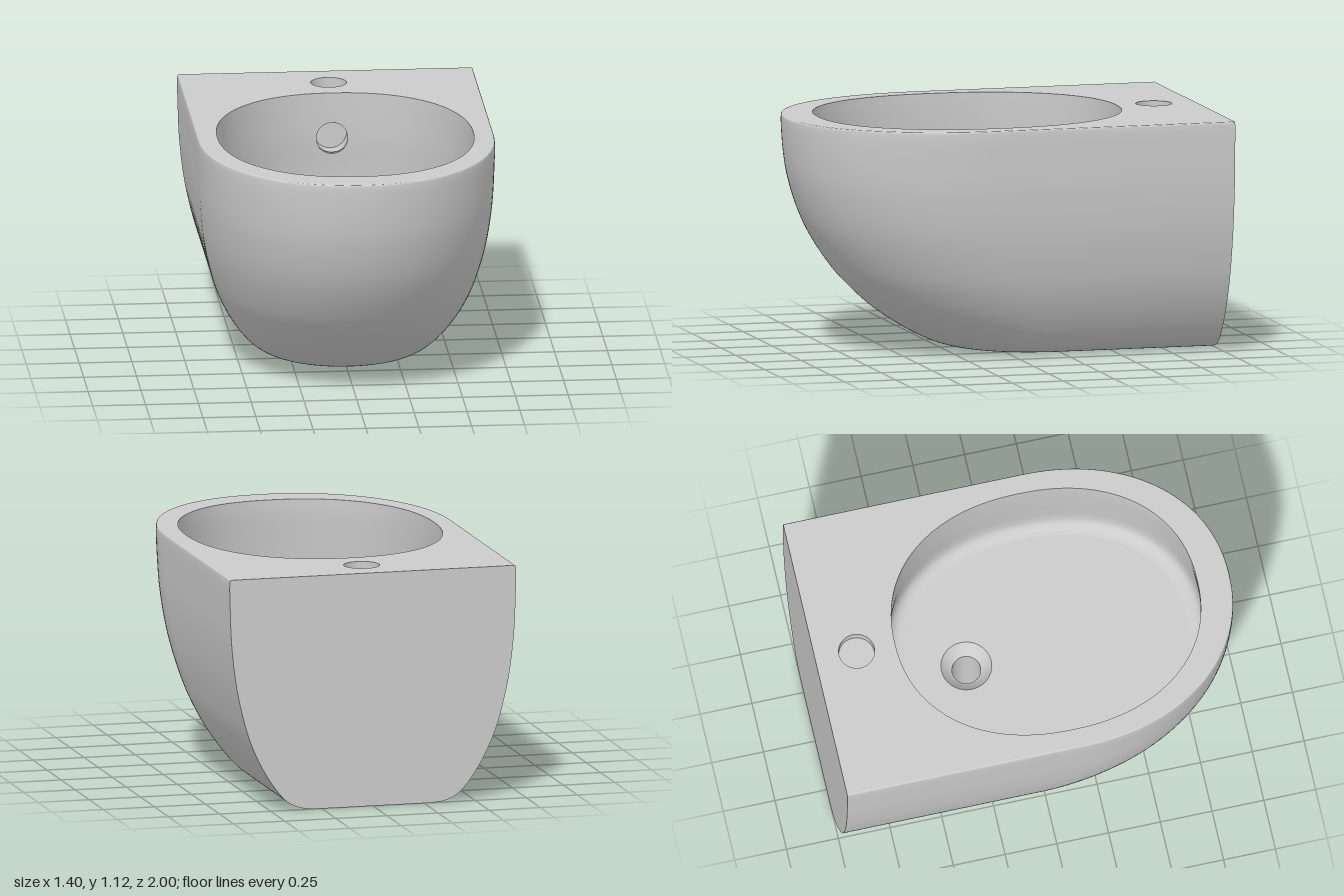
import * as THREE from 'three';

const material = new THREE.MeshStandardMaterial({ color: 0xcccccc, side: THREE.DoubleSide });
const H = 1.12, FLOOR = 0.6;
const TAP = { z: -0.8, r: 0.085, depth: 0.05 };
const DRAIN = { z: -0.27, r: 0.068, R: 0.12 };

const curve = (pts) => new THREE.CatmullRomCurve3(pts.map((p) => new THREE.Vector3(...p)));

// Outer profile from rim to base: half width, height, front reach
const outer = curve([
  [0.69, H, 0.991], [0.696, 1.118, 0.997], [0.699, 1.11, 1], [0.697, 0.95, 0.992], [0.69, 0.8, 0.966],
  [0.666, 0.6, 0.895], [0.62, 0.4, 0.77], [0.585, 0.3, 0.68], [0.537, 0.2, 0.57], [0.473, 0.1, 0.42],
  [0.418, 0.04, 0.3], [0.375, 0.016, 0.225], [0.33, 0.004, 0.16], [0.28, 0, 0.1],
]);

// Basin profile from rim to floor: scale, height, centre z (slightly undercut wall)
const inner = curve([
  [1, H, 0.115], [1, 1.06, 0.115], [1.01, 0.9, 0.12], [1.025, 0.76, 0.12], [1.03, 0.69, 0.12],
  [1.02, 0.64, 0.12], [0.98, 0.609, 0.12], [0.93, FLOOR, 0.12],
]);

// Smooth surface from a grid of points; skip(i, j) leaves cells open
function grid(nu, nv, closed, point, skip = () => false) {
  const pos = [], index = [];
  const cols = closed ? nu : nu + 1;
  for (let j = 0; j <= nv; j++) for (let i = 0; i < cols; i++) pos.push(...point(i, j));
  for (let j = 0; j < nv; j++) {
    for (let i = 0; i < nu; i++) {
      if (skip(i, j)) continue;
      const k = (i + 1) % cols;
      const a = j * cols + i, b = j * cols + k, c = a + cols, d = b + cols;
      index.push(a, b, c, b, d, c);
    }
  }
  const g = new THREE.BufferGeometry();
  g.setAttribute('position', new THREE.Float32BufferAttribute(pos, 3));
  g.setIndex(index);
  g.computeVertexNormals();
  return g;
}

// Flat horizontal face bounded by a loop of points, with optional holes
function cap(loop, holes, facing) {
  const flip = (z) => -facing * z;
  const shape = new THREE.Shape(loop.map((p) => new THREE.Vector2(p[0], flip(p[2]))));
  for (const h of holes) shape.holes.push(new THREE.Path(h.map((p) => new THREE.Vector2(p[0], flip(p[2])))));
  return new THREE.ShapeGeometry(shape).rotateX(-facing * Math.PI / 2).translate(0, loop[0][1], 0);
}

const loopOf = (n, fn) => Array.from({ length: n }, (_, i) => fn(i));
const circle = (z, r) => loopOf(48, (i) => {
  const a = (i / 48) * Math.PI * 2;
  return [r * Math.cos(a), 0, z + r * Math.sin(a)];
});

// Slightly squared sine and cosine
const soft = (v, power) => Math.sign(v) * Math.abs(v) ** (2 / power);

// U-shaped section of the body: straight sides, rounded front
const SIDE = 8, ARC = 72, NU = SIDE * 2 + ARC, NV = 104;
function bodyPoint(i, j) {
  const { x: w, y, z: front } = outer.getPoint(j / NV);
  const zc = 0.15 - 0.4 * (1 - y / H) ** 2;
  if (i < SIDE) return [w, y, THREE.MathUtils.lerp(-1, zc, i / SIDE)];
  if (i > SIDE + ARC) return [-w, y, THREE.MathUtils.lerp(-1, zc, (NU - i) / SIDE)];
  const a = ((i - SIDE) / ARC) * Math.PI;
  return [w * soft(Math.cos(a), 2.12), y, zc + (front - zc) * soft(Math.sin(a), 2.12)];
}

// Oval section of the basin
const BU = 192, BV = 48;
function basinPoint(i, j) {
  const { x: k, y, z: c } = inner.getPointAt(THREE.MathUtils.clamp(j / BV, 0, 1));
  const a = (i / BU) * Math.PI * 2;
  return [0.605 * k * soft(Math.sin(a), 2.2), y, c + 0.73 * k * soft(Math.cos(a), 2.2)];
}

// Overflow opening: a block of cells in the back wall, rounded to a circle
const HOLE = { i: BU / 2, j: 18, di: 3, dj: 6 };
function basinWithHole(i, j) {
  const u = (i - HOLE.i) / HOLE.di, v = (j - HOLE.j) / HOLE.dj;
  const m = Math.max(Math.abs(u), Math.abs(v));
  if (m === 0 || m >= 2) return basinPoint(i, j);
  const s = 1 + (m / Math.hypot(u, v) - 1) * Math.min(1, 2 - m);
  return basinPoint(HOLE.i + u * s * HOLE.di, HOLE.j + v * s * HOLE.dj);
}
const inHole = (i, j) =>
  Math.abs(i + 0.5 - HOLE.i) < HOLE.di && Math.abs(j + 0.5 - HOLE.j) < HOLE.dj;

export function createModel() {
  const model = new THREE.Group();
  model.name = 'wallHungBasin';
  const add = (name, geometry) => {
    const mesh = new THREE.Mesh(geometry, material);
    mesh.name = name;
    model.add(mesh);
    return mesh;
  };

  // Outer shell
  add('bodyShell', grid(NU, NV, false, bodyPoint));

  // Flat back against the wall
  const edge = loopOf(NV + 1, (j) => outer.getPoint(j / NV));
  const outline = [
    ...edge.map((p) => new THREE.Vector2(p.x, p.y)),
    ...edge.reverse().map((p) => new THREE.Vector2(-p.x, p.y)),
  ];
  add('backFace', new THREE.ShapeGeometry(new THREE.Shape(outline)).rotateY(Math.PI).translate(0, 0, -1));

  // Top deck and underside
  const rim = loopOf(BU, (i) => basinPoint(i, 0));
  add('topDeck', cap(loopOf(NU + 1, (i) => bodyPoint(i, 0)), [rim, circle(TAP.z, TAP.r)], 1));
  add('underside', cap(loopOf(NU + 1, (i) => bodyPoint(i, NV)), [circle(DRAIN.z, DRAIN.r)], -1));

  // Basin wall and floor
  add('basinWall', grid(BU, BV, true, basinWithHole, inHole));
  const floor = loopOf(BU, (i) => basinPoint(i, BV));
  add('basinFloor', cap(floor, [circle(DRAIN.z, DRAIN.R)], 1));

  // Drain: countersunk seat and pipe through the base
  const lathe = (pts) => new THREE.LatheGeometry(pts.map((p) => new THREE.Vector2(...p)), 48);
  const seat = [[DRAIN.R, FLOOR], [0.085, FLOOR - 0.045], [DRAIN.r, FLOOR - 0.055]];
  add('drainSeat', lathe(seat)).position.z = DRAIN.z;
  add('drainPipe', lathe([seat[2], [DRAIN.r, 0]])).position.z = DRAIN.z;

  // Shallow tap recess in the deck
  add('tapHoleWall', lathe([[TAP.r, H], [TAP.r, H - TAP.depth]])).position.z = TAP.z;
  add('tapHoleFloor', new THREE.CircleGeometry(TAP.r, 48).rotateX(-Math.PI / 2)).position.set(0, H - TAP.depth, TAP.z);

  // Overflow channel behind the back wall
  const channel = new THREE.CylinderGeometry(0.077, 0.077, 0.1, 32, 1, true).rotateX(Math.PI / 2);
  add('overflowChannel', channel).position.set(0, 0.9, -0.665);
  add('overflowEnd', new THREE.CircleGeometry(0.077, 32)).position.set(0, 0.9, -0.715);

  return model;
}
